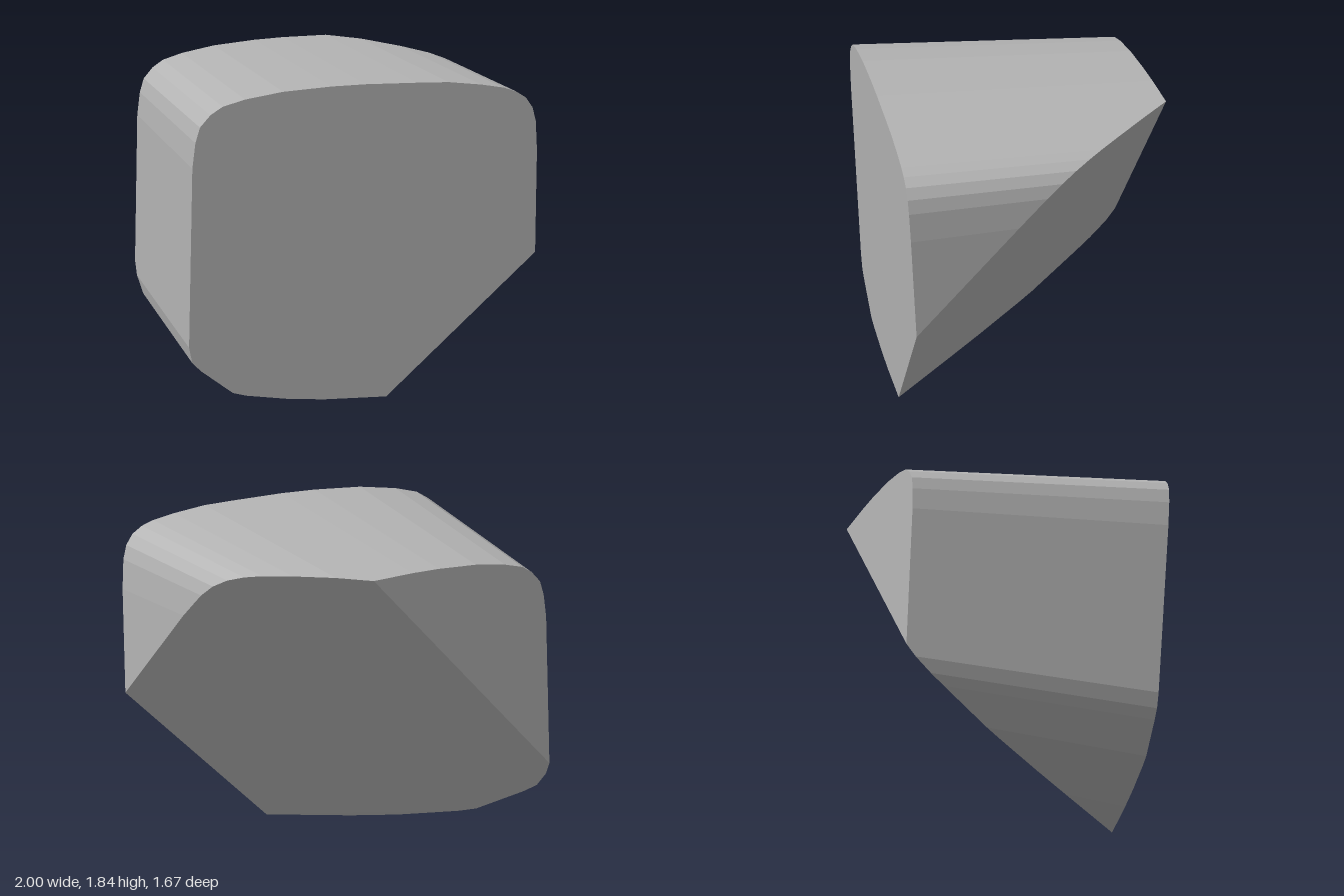
import * as THREE from 'three';
import { ConvexGeometry } from 'three/addons/geometries/ConvexGeometry.js';

// Outline of the front face (x, y), from the right side over the top to the bottom
const OUTLINE = [
  [1, 0.8], [1, 1.4], [0.99, 1.57], [0.97, 1.65], [0.93, 1.71], [0.87, 1.75], [0.8, 1.775],
  [0.67, 1.8], [0.48, 1.825], [0.3, 1.832], [0, 1.84], [-0.2, 1.838], [-0.48, 1.823],
  [-0.7, 1.79], [-0.83, 1.755], [-0.9, 1.71], [-0.96, 1.64], [-0.985, 1.55], [-1, 1.4],
  [-1, 0.43], [-1, 0.35], [-0.98, 0.26], [-0.93, 0.21], [-0.74, 0.07], [-0.66, 0.05],
  [-0.4, 0.015], [-0.2, 0.003], [0.15, 0],
];

// The sides taper gently towards this far point behind the block
const APEX = new THREE.Vector3(0.29, 1.25, -11.05);

// Signed distances, positive inside: slightly tilted back face and the large oblique cut
const backFace = (p) => p.z + 0.899 + 0.055 * p.x - 0.043 * p.y;
const obliqueCut = (p) => -0.517 + 0.934 * p.y + 0.974 * p.z - p.x;

// How far along the line from p to the apex a plane is met
const meet = (plane, p) => plane(p) / (plane(p) - plane(APEX));

export function createModel() {
  const stone = new THREE.MeshStandardMaterial({ color: 0xb4b4b4 });
  stone.name = 'light grey stone';

  // Sweep every outline point backwards until it reaches the cut or the back face
  const points = [];
  for (const [x, y] of OUTLINE) {
    const front = new THREE.Vector3(x, y, 0.668 + 0.078 * x + 0.055 * y);
    points.push(front);
    const t = Math.min(meet(backFace, front), meet(obliqueCut, front));
    if (t > 0.003) points.push(front.clone().lerp(APEX, t));
  }

  const block = new THREE.Mesh(new ConvexGeometry(points), stone);
  block.name = 'cutBlock';

  const group = new THREE.Group();
  group.name = 'cutStoneBlock';
  group.add(block);
  return group;
}
